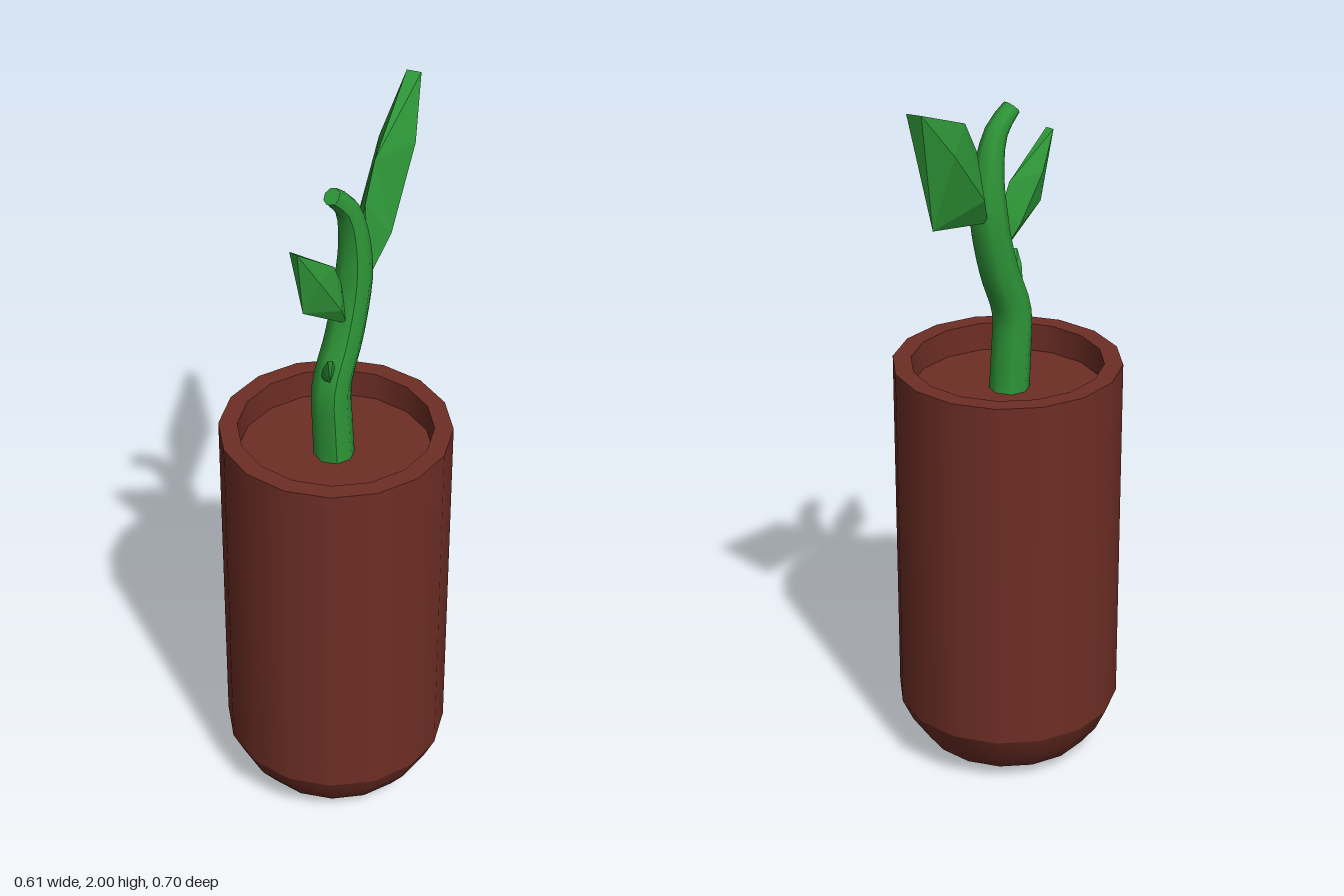
import * as THREE from 'three';
import { ConvexGeometry } from 'three/addons/geometries/ConvexGeometry.js';

const clay = new THREE.MeshStandardMaterial({ color: 0x6e2e25 });
const green = new THREE.MeshStandardMaterial({ color: 0x2e9638 });
const leafGreen = new THREE.MeshStandardMaterial({ color: 0x2e9638, flatShading: true });

function addMesh(group, name, geometry, material) {
  const mesh = new THREE.Mesh(geometry, material);
  mesh.name = name;
  group.add(mesh);
  return mesh;
}

// One smooth section of the pot, revolved from [radius, height] pairs
function turned(points, sides) {
  return new THREE.LatheGeometry(points.map(p => new THREE.Vector2(...p)), sides, Math.PI / sides);
}

// Curved stem that thins towards a closed tip
function stemGeometry() {
  const path = new THREE.CatmullRomCurve3([
    [-0.005, 1.09, 0.05], [-0.01, 1.2, 0.052], [-0.012, 1.32, 0.052], [0.025, 1.45, 0.022],
    [0.052, 1.6, 0], [0.052, 1.73, 0.005], [0.03, 1.83, 0.025], [-0.012, 1.883, 0.055],
  ].map(p => new THREE.Vector3(...p)));
  const rings = 22, sides = 8;
  const tube = new THREE.TubeGeometry(path, rings, 1, sides);
  const pos = tube.attributes.position;
  const v = new THREE.Vector3();
  for (let i = 0; i <= rings; i++) {
    const t = i / rings;
    const centre = path.getPointAt(t);
    const radius = t < 0.65 ? 0.055 - 0.008 * t : 0.05 - 0.026 * (t - 0.65) / 0.35;
    for (let j = 0; j <= sides; j++) {
      const k = i * (sides + 1) + j;
      v.fromBufferAttribute(pos, k).sub(centre).multiplyScalar(radius).add(centre);
      pos.setXYZ(k, v.x, v.y, v.z);
    }
  }
  tube.computeVertexNormals();
  return { tube, tip: path.getPointAt(1), direction: path.getTangentAt(1) };
}

// Faceted leaf: an upright diamond blade with a raised midrib on both sides.
// upper and lower are the blade corners as fractions of [length, height].
function leafGeometry({ base, dir, length, height, thick, upper, lower }) {
  const [dx, dz] = dir;
  const at = (s, h, off = 0) => new THREE.Vector3(
    base[0] + dx * s * length - dz * off,
    base[1] + h * height,
    base[2] + dz * s * length + dx * off);
  const points = [
    at(upper[0], upper[1]), at(upper[0] * 0.25, upper[1] * 0.68),
    at(lower[0], lower[1]), at(lower[0] * 1.03, lower[1] * 1.4),
  ];
  for (const side of [-1, 1]) {
    points.push(
      at(0, 0, side * thick * 0.4),
      at(0.22, 0.23, side * thick),
      at(0.68, 0.66, side * thick),
      at(1, 1, side * thick * 0.4));
  }
  return new ConvexGeometry(points);
}

export function createModel() {
  const model = new THREE.Group();
  model.name = 'pottedSprout';

  // Pot and soil
  const pot = new THREE.Group();
  pot.name = 'pot';
  pot.position.z = 0.045;
  model.add(pot);
  const wall = [[0.31, 0.165], [0.31, 1.18]];
  addMesh(pot, 'potBase', turned([[0, 0], [0.15, 0.003], [0.235, 0.04], [0.28, 0.1], wall[0]], 16), clay);
  addMesh(pot, 'potWall', turned(wall, 16), clay);
  addMesh(pot, 'potRim', turned([[0.31, 1.18], [0.26, 1.18]], 16), clay);
  addMesh(pot, 'potInnerWall', turned([[0.26, 1.18], [0.26, 1.1]], 16), clay);
  addMesh(pot, 'soil', turned([[0.26, 1.1], [0, 1.1]], 16), clay);

  // Stem with its blunt end
  const { tube, tip, direction } = stemGeometry();
  addMesh(model, 'stem', tube, green);
  const cap = addMesh(model, 'stemTip', new THREE.CircleGeometry(0.024, 8), green);
  cap.position.copy(tip);
  cap.lookAt(tip.clone().add(direction));

  // Leaves
  const leaves = {
    largeLeaf: {
      base: [0.075, 1.6, -0.015], dir: [0.5, -0.866], length: 0.375, height: 0.4,
      thick: 0.05, upper: [0.24, 0.73], lower: [0.75, 0.18],
    },
    middleLeaf: {
      base: [0.02, 1.5, 0.035], dir: [-0.77, 0.64], length: 0.185, height: 0.29,
      thick: 0.032, upper: [0.18, 0.62], lower: [0.82, 0.34],
    },
    smallLeaf: {
      base: [-0.03, 1.35, 0.075], dir: [0, 1], length: 0.073, height: 0.11,
      thick: 0.016, upper: [0.1, 0.5], lower: [0.9, 0.34],
    },
  };
  for (const [name, leaf] of Object.entries(leaves)) {
    addMesh(model, name, leafGeometry(leaf), leafGreen);
  }
  return model;
}
